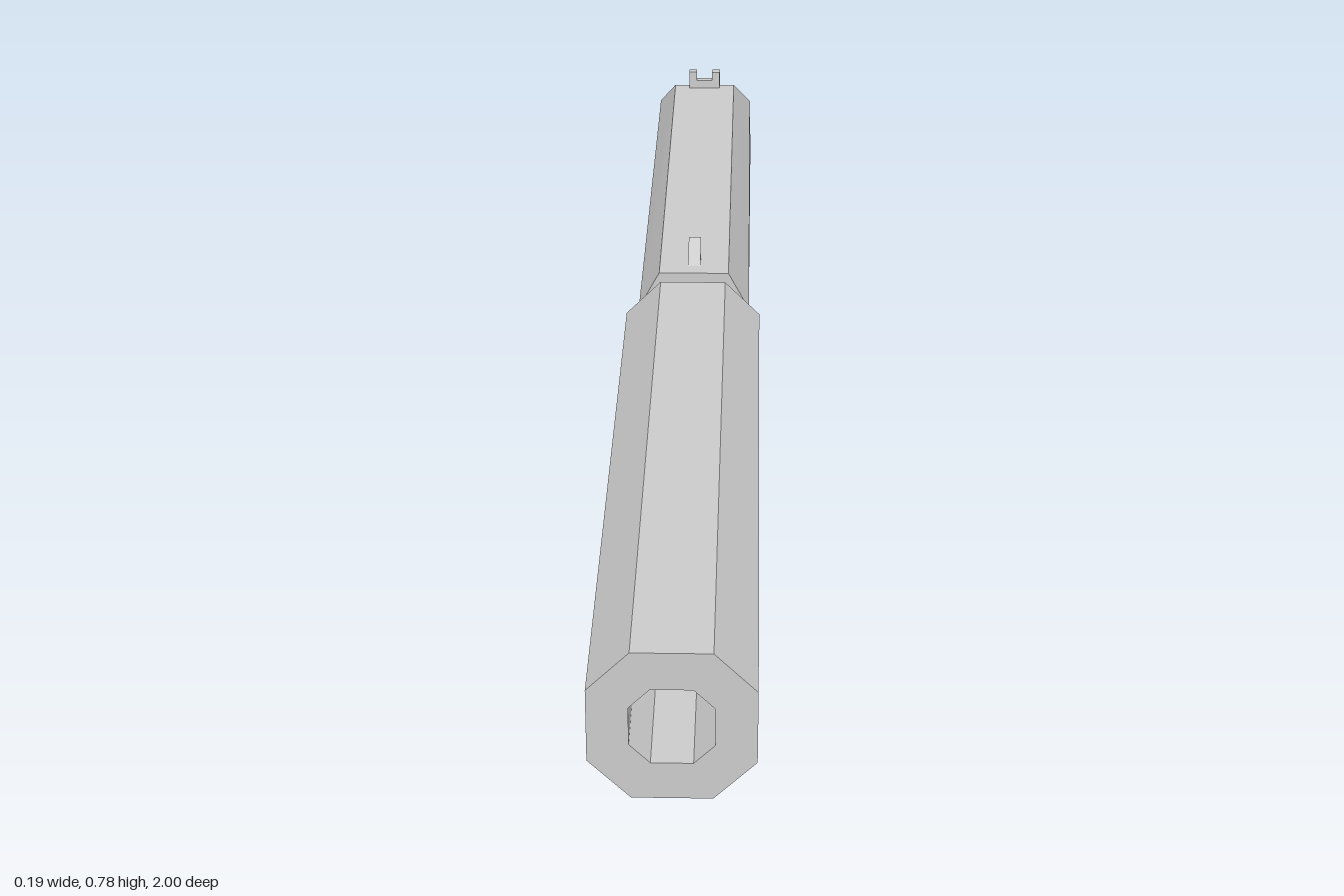
import * as THREE from 'three';
import { ConvexGeometry } from 'three/addons/geometries/ConvexGeometry.js';

const material = new THREE.MeshStandardMaterial({ color: 0xcccccc, flatShading: true });
const AXIS_Y = 0.664; // height of the barrel axis

export function createModel() {
  const model = new THREE.Group();

  function add(name, geometry, x = 0, y = 0, z = 0) {
    const mesh = new THREE.Mesh(geometry, material);
    mesh.name = name;
    mesh.position.set(x, y, z);
    model.add(mesh);
    return mesh;
  }

  const outline = (points) => points.map(([a, b]) => new THREE.Vector2(a, b));

  // Side profile given as [z, y], extruded symmetrically across x
  function profile(name, points, halfWidth) {
    const geometry = new THREE.ExtrudeGeometry(new THREE.Shape(outline(points)), {
      depth: halfWidth * 2, bevelEnabled: false,
    });
    geometry.translate(0, 0, -halfWidth).rotateY(-Math.PI / 2);
    return add(name, geometry);
  }

  // Octagon with half size r and flats of half length f
  const octagon = (r, f) => outline([
    [f, -r], [r, -f], [r, f], [f, r], [-f, r], [-r, f], [-r, -f], [-f, -r],
  ]);

  function octagonalBar(name, r, f, length, z, bore) {
    const shape = new THREE.Shape(octagon(r, f));
    if (bore) shape.holes.push(new THREE.Path(octagon(...bore).reverse()));
    add(name, new THREE.ExtrudeGeometry(shape, { depth: length, bevelEnabled: false }), 0, AXIS_Y, z);
  }

  // Muzzle tube and barrel; the barrel closes the back of the bore
  octagonalBar('muzzleTube', 0.095, 0.046, 1, 0, [0.048, 0.024]);
  octagonalBar('boreEnd', 0.06, 0.03, 0.02, 0.005);
  octagonalBar('barrel', 0.034, 0.017, 0.12, -0.1);

  // Slide with chamfered top, bevelled back and rising front underside
  const slideHalf = [
    [0.08, 0.655, -0.053], [0.08, 0.695, -0.053], [0.05, 0.75, -0.053],
    [0.08, 0.598, -0.22], [0.08, 0.598, -0.97],
    [0.078, 0.695, -0.94], [0.05, 0.75, -0.865],
  ];
  add('slide', new ConvexGeometry(slideHalf.flatMap(([x, y, z]) => [
    new THREE.Vector3(x, y, z), new THREE.Vector3(-x, y, z),
  ])));

  // Frame under the slide
  profile('frame', [
    [-0.056, 0.67], [-0.056, 0.598], [-0.22, 0.595], [-0.54, 0.548], [-0.61, 0.45],
    [-0.905, 0.45], [-0.966, 0.545], [-0.968, 0.61], [-0.9, 0.67],
  ], 0.067);

  // Grip: narrow front strap and wider body
  profile('frontStrap', [
    [-0.6, 0.46], [-0.6, 0.43], [-0.63, 0.32], [-0.66, 0.17], [-0.668, 0.08],
    [-0.672, 0.022], [-0.8, 0.022], [-0.8, 0.46],
  ], 0.067);
  profile('grip', [
    [-0.625, 0.515], [-0.607, 0.43], [-0.642, 0.3], [-0.668, 0.13], [-0.677, 0.018],
    [-0.973, 0.018], [-0.973, 0.1], [-0.943, 0.33], [-0.914, 0.45], [-0.853, 0.515],
  ], 0.08);
  add('magazineBase', new THREE.BoxGeometry(0.12, 0.04, 0.225), 0, 0.02, -0.7675);

  // Trigger and its guard
  profile('triggerGuard', [
    [-0.378, 0.585], [-0.366, 0.461], [-0.615, 0.41], [-0.615, 0.436],
    [-0.392, 0.481], [-0.394, 0.585],
  ], 0.022);
  profile('trigger', [
    [-0.452, 0.575], [-0.468, 0.54], [-0.445, 0.506], [-0.465, 0.504],
    [-0.484, 0.54], [-0.484, 0.575],
  ], 0.014);

  // Sights on top of the slide
  profile('frontSight', [[-0.075, 0.748], [-0.13, 0.748], [-0.13, 0.774]], 0.009);
  add('rearSightBase', new THREE.BoxGeometry(0.052, 0.016, 0.014), 0, 0.755, -0.857);
  for (const side of [-1, 1]) {
    add('rearSightPost', new THREE.BoxGeometry(0.013, 0.03, 0.014), side * 0.0195, 0.763, -0.857);
  }

  // Hammer at the back
  profile('hammer', [
    [-0.92, 0.69], [-0.975, 0.705], [-0.998, 0.68], [-0.998, 0.645],
    [-0.972, 0.62], [-0.92, 0.64],
  ], 0.02);

  return model;
}
